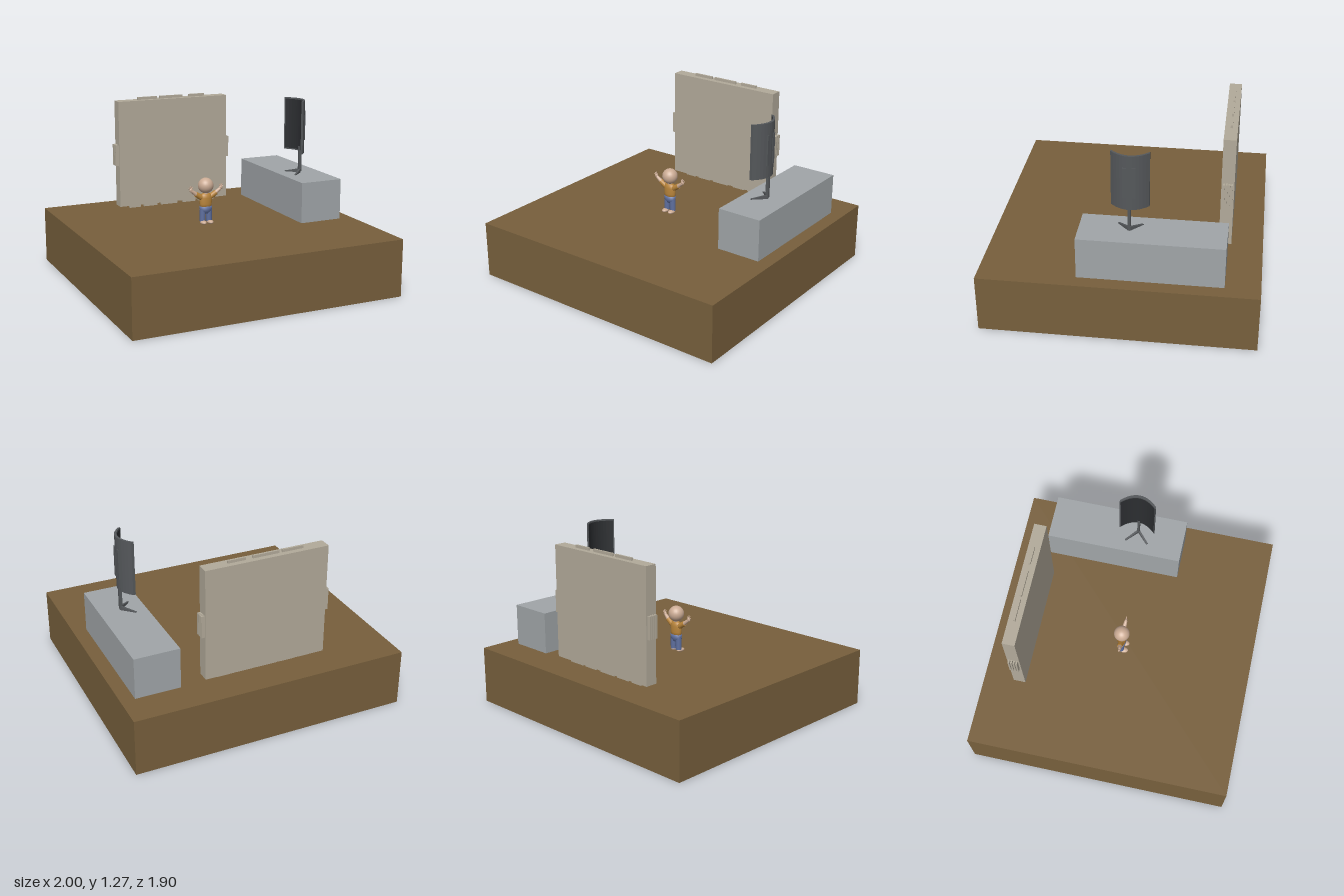
import * as THREE from 'three';

const mat = (color, side = THREE.FrontSide) => new THREE.MeshStandardMaterial({ color, side });
const soil = mat(0x775f3c), board = mat(0xb2aa9a), stone = mat(0xa0a5a8), dark = mat(0x55585b);
const glass = mat(0x2c2e31), skin = mat(0xcbab94), shirt = mat(0xb8843a), denim = mat(0x5f70a0);

function add(parent, name, geometry, material, x = 0, y = 0, z = 0) {
  const m = new THREE.Mesh(geometry, material);
  m.name = name;
  m.position.set(x, y, z);
  parent.add(m);
  return m;
}

// Box given by its lower and upper limits on each axis
function span(parent, name, material, x0, x1, y0, y1, z0, z1) {
  return add(parent, name, new THREE.BoxGeometry(x1 - x0, y1 - y0, z1 - z0), material,
    (x0 + x1) / 2, (y0 + y1) / 2, (z0 + z1) / 2);
}

// Tapered round bar between two points
function limb(parent, name, material, a, b, ra, rb, sides = 16) {
  const p = new THREE.Vector3(...a), q = new THREE.Vector3(...b), d = q.clone().sub(p);
  const m = add(parent, name, new THREE.CylinderGeometry(rb, ra, d.length(), sides), material);
  m.position.copy(p).add(q).multiplyScalar(0.5);
  m.quaternion.setFromUnitVectors(new THREE.Vector3(0, 1, 0), d.normalize());
  return m;
}

function ball(parent, name, material, r, x, y, z, sx = 1, sy = 1, sz = 1) {
  const m = add(parent, name, new THREE.SphereGeometry(r, 24, 16), material, x, y, z);
  m.scale.set(sx, sy, sz);
  return m;
}

// Upright sheet following an arc in plan, hollow side towards -x
function curvedSheet(half, bend, thick, height) {
  const s = new THREE.Shape();
  const at = (t) => [-bend * t * t, half * t];
  const n = 12;
  for (let i = 0; i <= n; i++) {
    const [x, z] = at(-1 + 2 * i / n);
    i ? s.lineTo(x, z) : s.moveTo(x, z);
  }
  for (let i = n; i >= 0; i--) {
    const [x, z] = at(-1 + 2 * i / n);
    s.lineTo(x - thick, z);
  }
  const g = new THREE.ExtrudeGeometry(s, { depth: height, bevelEnabled: false });
  return g.rotateX(-Math.PI / 2);
}

function makePanel() {
  const g = new THREE.Group();
  g.name = 'standingPanel';
  span(g, 'panelSlab', board, -0.49, 0.405, 0.44, 1.25, -0.73, -0.642);
  // Thin tabs along the top and bottom edges
  for (const [a, b] of [[-0.32, -0.165], [-0.14, 0.05], [0.10, 0.23]])
    span(g, 'topTab', board, a, b, 1.25, 1.27, -0.694, -0.68);
  for (const [a, b] of [[-0.40, -0.31], [-0.28, -0.17], [-0.14, 0], [0.045, 0.155], [0.18, 0.31]])
    span(g, 'bottomTab', board, a, b, 0.412, 0.44, -0.697, -0.677);
  // Ribbed blocks on both ends
  for (const [a, b] of [[-0.515, -0.49], [0.405, 0.43]])
    for (let i = 0; i < 4; i++)
      span(g, 'sideRib', board, a, b, 0.76, 0.92, -0.72 + i * 0.018, -0.708 + i * 0.018);
  return g;
}

function makeMonitor() {
  const g = new THREE.Group();
  g.name = 'curvedMonitor';
  g.position.set(0.76, 0.715, -0.06);
  add(g, 'monitorShell', curvedSheet(0.128, 0.065, 0.018, 0.395), dark, 0, 0.165, 0);
  add(g, 'screen', curvedSheet(0.12, 0.058, 0.003, 0.375), glass, -0.0175, 0.175, 0);
  // Raised ribs on the back
  for (const s of [-1, 1])
    span(g, 'backRib', dark, -0.012, 0.002, 0.255, 0.475, s * 0.031 - 0.012, s * 0.031 + 0.012);
  span(g, 'neck', dark, -0.026, -0.004, 0.01, 0.2, -0.009, 0.009);
  // Splayed wedge feet
  for (const s of [-1, 1]) {
    const p = new THREE.Shape([[0, 0], [0.12, 0], [0.12, 0.004], [0, 0.03]]
      .map(([x, y]) => new THREE.Vector2(x, y)));
    const f = add(g, 'foot', new THREE.ExtrudeGeometry(p, { depth: 0.014, bevelEnabled: false })
      .translate(0, 0, -0.007), dark, -0.012, 0, 0);
    f.rotation.y = Math.PI - s * 0.76;
  }
  return g;
}

function makeFigure() {
  const g = new THREE.Group();
  g.name = 'figure';
  g.position.set(-0.06, 0.415, -0.012);
  ball(g, 'head', skin, 0.057, 0, 0.285, 0);
  limb(g, 'neck', skin, [0, 0.21, 0], [0, 0.25, 0], 0.019, 0.019);
  const body = [[0, 0.11], [0.043, 0.112], [0.046, 0.15], [0.048, 0.195], [0.04, 0.219], [0.02, 0.229], [0, 0.23]];
  add(g, 'shirt', new THREE.LatheGeometry(body.map(([x, y]) => new THREE.Vector2(x, y)), 24), shirt).scale.z = 0.65;
  const hips = [[0, 0.072], [0.025, 0.078], [0.045, 0.1], [0.048, 0.132], [0, 0.134]];
  add(g, 'trouserHips', new THREE.LatheGeometry(hips.map(([x, y]) => new THREE.Vector2(x, y)), 24), denim).scale.z = 0.68;
  for (const s of [-1, 1]) {
    limb(g, 'trouserLeg', denim, [s * 0.026, 0.02, 0], [s * 0.024, 0.11, 0], 0.021, 0.023);
    ball(g, 'shoe', skin, 0.022, s * 0.027, 0.014, 0.017, 1, 0.65, 1.6);
    // Raised arm: sleeve, forearm and open hand
    ball(g, 'shoulder', shirt, 0.021, s * 0.041, 0.202, 0);
    limb(g, 'sleeve', shirt, [s * 0.041, 0.202, 0], [s * 0.08, 0.227, 0.002], 0.021, 0.019);
    limb(g, 'forearm', skin, [s * 0.076, 0.224, 0.002], [s * 0.114, 0.255, 0.006], 0.016, 0.011);
    ball(g, 'palm', skin, 0.014, s * 0.118, 0.261, 0.006, 1, 1.1, 0.6);
    for (const [dx, dy] of [[-0.012, 0.022], [0.002, 0.03], [0.012, 0.025], [0.02, 0.013]])
      limb(g, 'finger', skin, [s * 0.118, 0.262, 0.006], [s * (0.118 + dx), 0.262 + dy, 0.007], 0.005, 0.003, 8);
  }
  return g;
}

export function createModel() {
  const model = new THREE.Group();
  model.name = 'scene';
  span(model, 'groundBlock', soil, -1, 1, 0, 0.415, -0.95, 0.95);
  span(model, 'bench', stone, 0.575, 0.9, 0.41, 0.715, -0.71, 0.28);
  model.add(makePanel(), makeMonitor(), makeFigure());
  return model;
}
